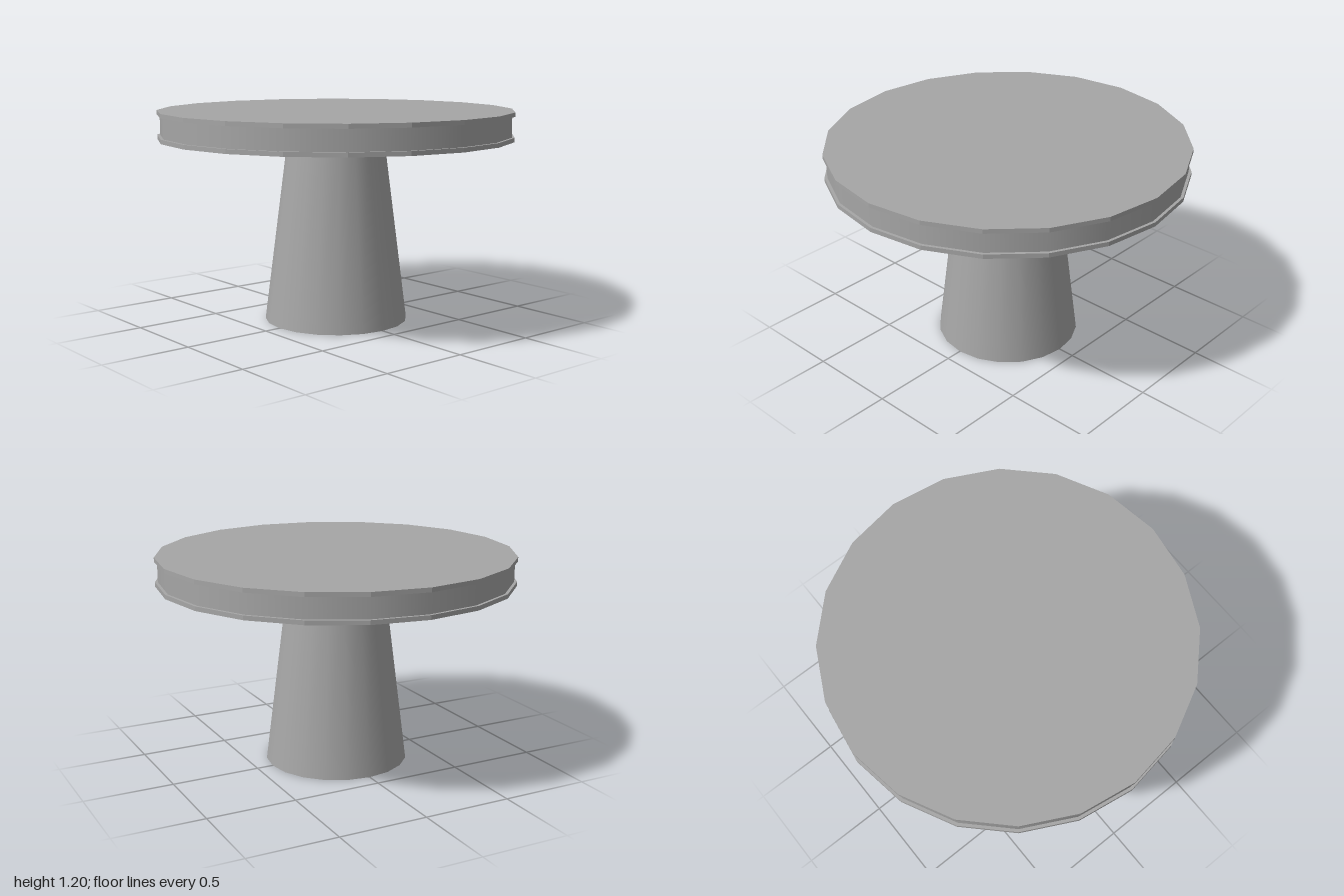
import * as THREE from 'three';

const SIDES = 20;

export function createModel() {
  const group = new THREE.Group();
  group.name = 'pedestalTable';

  const grey = new THREE.MeshStandardMaterial({ color: 0xa6a6a6 });
  grey.name = 'grey';

  // Upright round part between two heights
  function drum(name, topRadius, bottomRadius, y0, y1, flat = false) {
    let geometry = new THREE.CylinderGeometry(topRadius, bottomRadius, y1 - y0, SIDES);
    if (flat) {
      geometry = geometry.toNonIndexed();
      geometry.computeVertexNormals();
    }
    const mesh = new THREE.Mesh(geometry, grey);
    mesh.name = name;
    mesh.position.y = (y0 + y1) / 2;
    group.add(mesh);
  }

  // Tapered foot
  drum('pedestal', 0.273, 0.406, 0, 1.037);

  // Table top: recessed band between two thin faceted rims
  drum('lowerRim', 1, 1, 1.037, 1.061, true);
  drum('edgeBand', 0.984, 0.984, 1.061, 1.174);
  drum('upperRim', 1, 1, 1.174, 1.198, true);

  return group;
}
